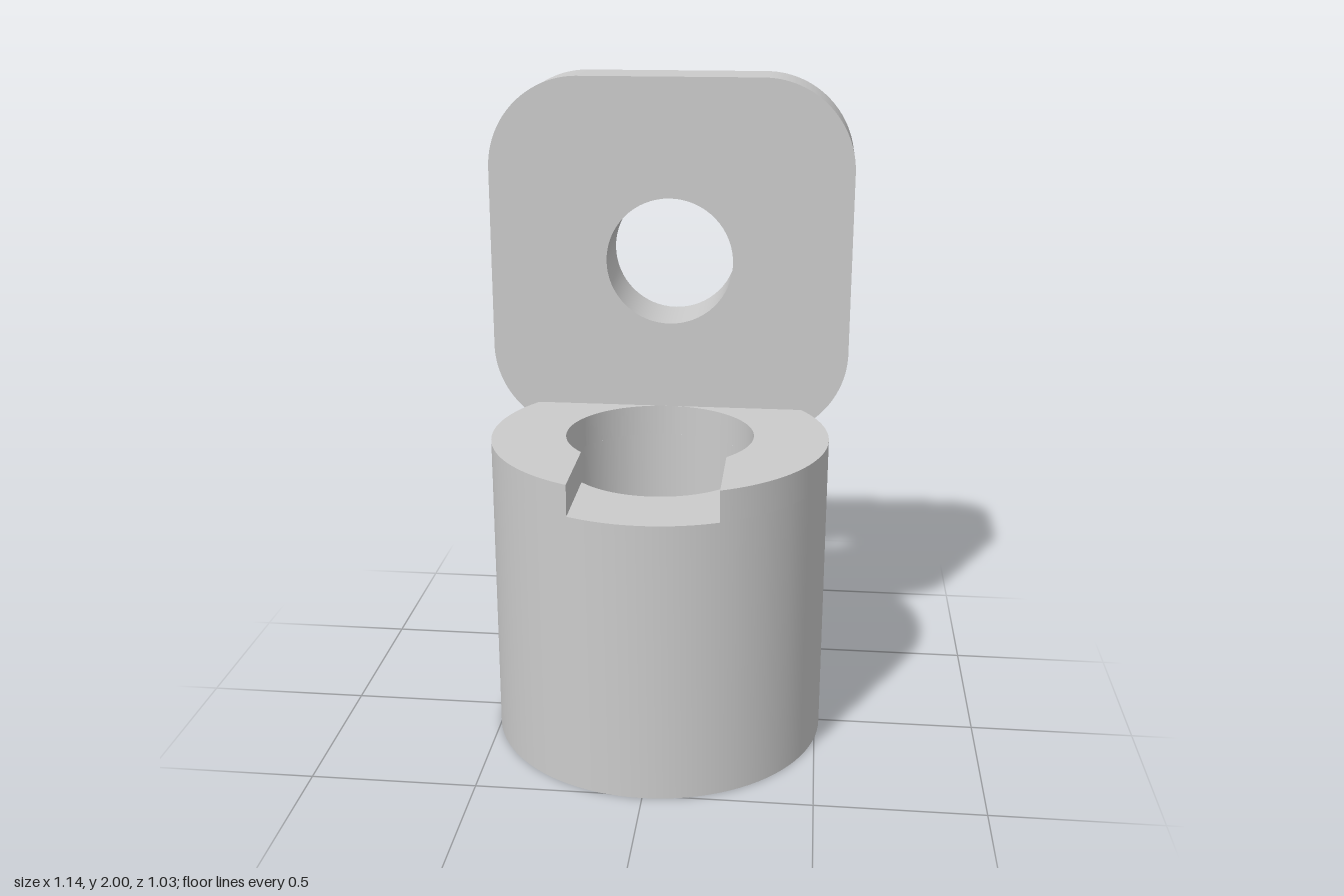
import * as THREE from 'three';
import { mergeGeometries, toCreasedNormals } from 'three/addons/utils/BufferGeometryUtils.js';

const R = 0.514, BORE = 0.287;           // sleeve radii
const TOP = 0.955, FLOOR = 0.86;         // sleeve rim and notch floor heights
const NOTCH = 0.215;                     // half width of the notch
const SEG = 96;

const material = new THREE.MeshStandardMaterial({ color: 0xcccccc });

// Bare, non-indexed copy holding positions only, from a given vertex on
function bare(geometry, from = 0) {
  const g = geometry.index ? geometry.toNonIndexed() : geometry;
  const out = new THREE.BufferGeometry();
  out.setAttribute('position', new THREE.BufferAttribute(g.attributes.position.array.slice(from * 3), 3));
  return out;
}

// Ring sector between two polar spans: outer arc forward, inner arc back
function sector(outerStart, outerEnd, innerStart, innerEnd) {
  const s = new THREE.Shape();
  s.absarc(0, 0, R, outerStart, outerEnd, false);
  s.absarc(0, 0, BORE, innerEnd, innerStart, true);
  return s;
}

function sleeveGeometry() {
  // Bore, underside and outer wall up to the notch floor
  const profile = [[BORE, FLOOR], [BORE, 0], [R, 0], [R, FLOOR]].map(p => new THREE.Vector2(...p));
  const lower = new THREE.LatheGeometry(profile, SEG);

  // Raised rim, interrupted by the parallel-sided notch at the front
  const front = -Math.PI / 2, turn = Math.PI * 2;
  const ao = Math.asin(NOTCH / R), ai = Math.asin(NOTCH / BORE);
  const rim = new THREE.ExtrudeGeometry(
    sector(front + ao, front + turn - ao, front + ai, front + turn - ai),
    { depth: TOP - FLOOR, bevelEnabled: false, curveSegments: SEG });
  const hiddenLid = rim.groups[0].count / 2;
  rim.rotateX(-Math.PI / 2).translate(0, FLOOR, 0);

  // Notch floor
  const floor = new THREE.ShapeGeometry(sector(front - ao, front + ao, front - ai, front + ai), 24);
  floor.rotateX(-Math.PI / 2).translate(0, FLOOR, 0);

  return toCreasedNormals(mergeGeometries([bare(lower), bare(rim, hiddenLid), bare(floor)]), 0.5);
}

function plateGeometry() {
  // Rounded square with a round hole
  const h = 0.57, r = 0.285, c = h - r;
  const s = new THREE.Shape();
  [[c, c], [-c, c], [-c, -c], [c, -c]].forEach(([x, y], i) =>
    s.absarc(x, y, r, i * Math.PI / 2, (i + 1) * Math.PI / 2, false));
  s.holes.push(new THREE.Path().absarc(0, 0, 0.2, 0, Math.PI * 2, true));
  const g = new THREE.ExtrudeGeometry(s, { depth: R - BORE, bevelEnabled: false, curveSegments: 32 });
  g.translate(0, 2 - h, -R);
  return toCreasedNormals(g, 0.5);
}

export function createModel() {
  const group = new THREE.Group();
  group.name = 'eyeletSleeve';
  for (const [name, geometry] of [['notchedSleeve', sleeveGeometry()], ['mountingPlate', plateGeometry()]]) {
    const mesh = new THREE.Mesh(geometry, material);
    mesh.name = name;
    group.add(mesh);
  }
  return group;
}
